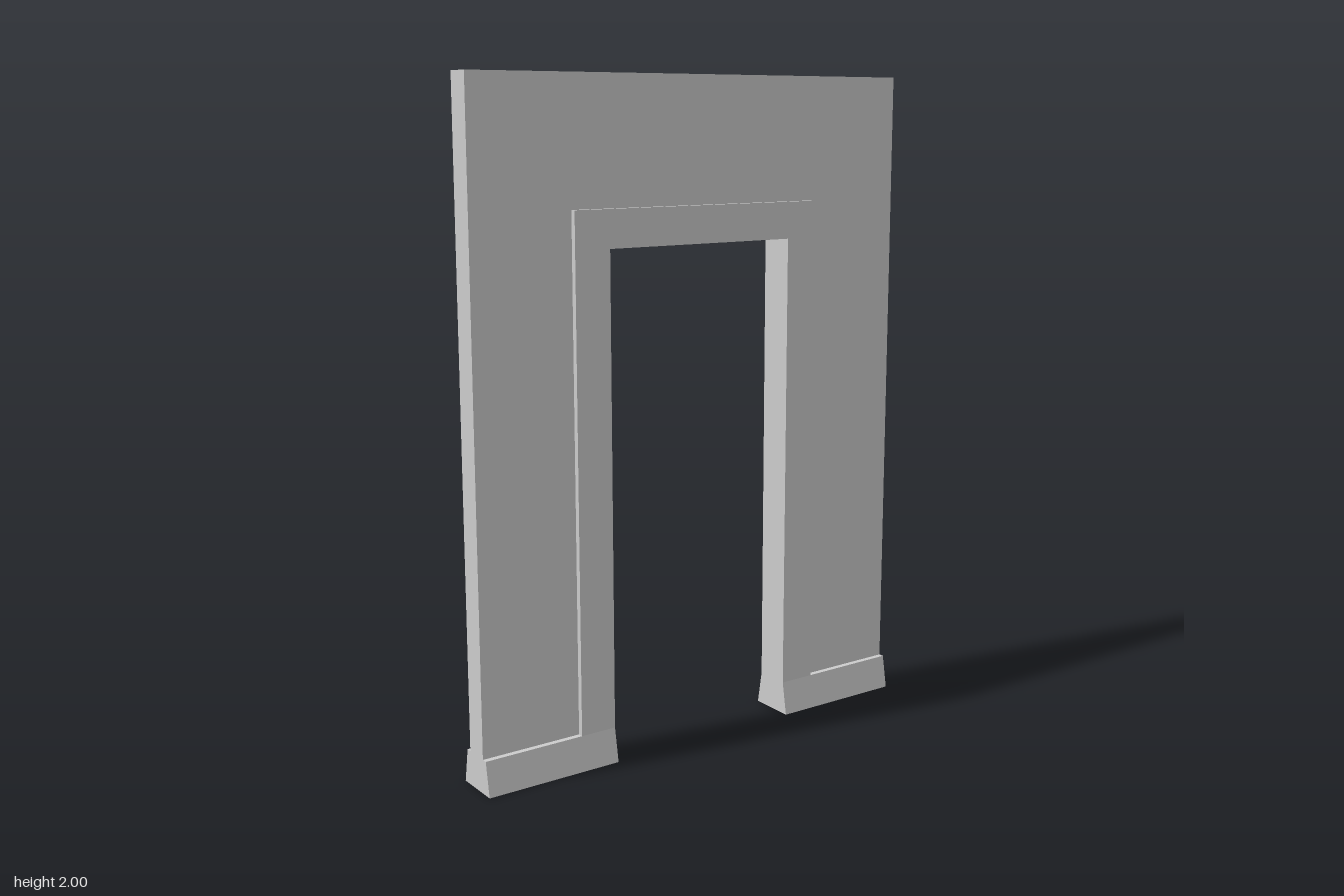
import * as THREE from 'three';

const HALF_W = 0.748, TOP = 2;            // outer wall
const OPEN_W = 0.318, OPEN_TOP = 1.518;   // door opening
const TRIM_W = 0.432, TRIM_TOP = 1.629;   // outer edge of the door trim
const BASE_H = 0.103;
const WALL_Z = 0.038, TRIM_Z = 0.055, BASE_Z = 0.073; // half depths

const material = new THREE.MeshStandardMaterial({ color: 0xcccccc, flatShading: true });

// Extrude a list of [x, y] corners, centred on z = 0
function extrude(name, corners, depth) {
  const shape = new THREE.Shape(corners.map(([x, y]) => new THREE.Vector2(x, y)));
  const geometry = new THREE.ExtrudeGeometry(shape, { depth, bevelEnabled: false });
  geometry.translate(0, 0, -depth / 2);
  const mesh = new THREE.Mesh(geometry, material);
  mesh.name = name;
  return mesh;
}

// Upside-down U standing on the plinths
function arch(name, outerX, outerY, innerX, innerY, halfDepth) {
  return extrude(name, [
    [-outerX, BASE_H], [-innerX, BASE_H], [-innerX, innerY], [innerX, innerY],
    [innerX, BASE_H], [outerX, BASE_H], [outerX, outerY], [-outerX, outerY],
  ], halfDepth * 2);
}

export function createModel() {
  const group = new THREE.Group();
  group.name = 'doorwayWall';

  // Thin wall around the thicker door trim
  group.add(arch('wall', HALF_W, TOP, TRIM_W, TRIM_TOP, WALL_Z));
  group.add(arch('doorTrim', TRIM_W, TRIM_TOP, OPEN_W, OPEN_TOP, TRIM_Z));

  // Flared plinth under each leg: a trapezoid section run along x
  const section = [[-BASE_Z, 0], [BASE_Z, 0], [TRIM_Z, BASE_H], [-TRIM_Z, BASE_H]];
  for (const [name, side] of [['leftPlinth', 1], ['rightPlinth', -1]]) {
    const plinth = extrude(name, section, HALF_W - OPEN_W);
    plinth.rotation.y = Math.PI / 2;
    plinth.position.x = side * (HALF_W + OPEN_W) / 2;
    group.add(plinth);
  }
  return group;
}
